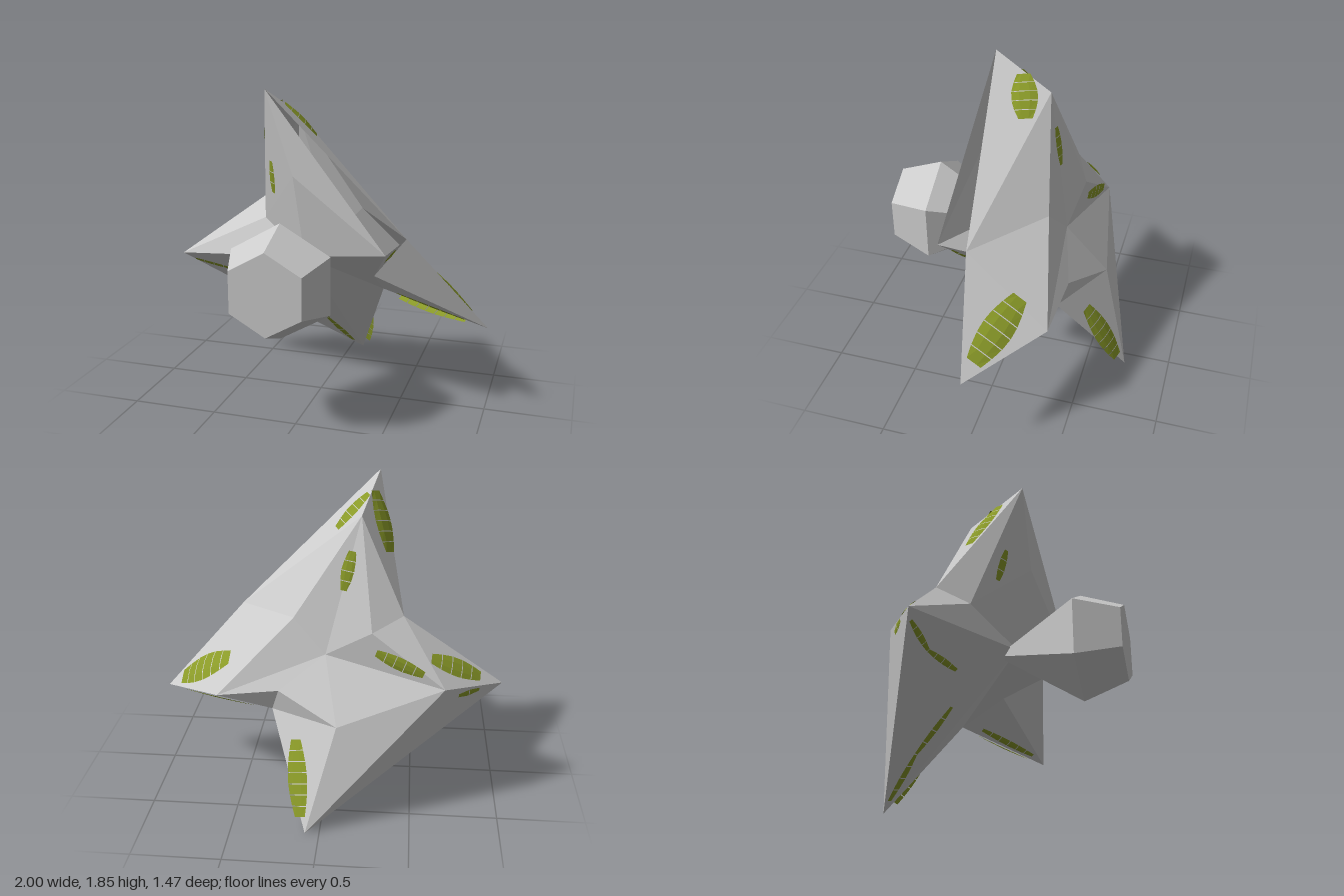
import * as THREE from 'three';

// Corners of the four-armed body: arm tips, their back corners and the valleys between
const P = {
  top: [-0.27, 1.845, 0.19], topBack: [-0.185, 1.67, -0.155],
  right: [1, 0.51, 0.01], rightBack: [0.62, 0.65, -0.365],
  low: [0.08, 0, -0.735], lowBack: [-0.08, 0.58, -0.555],
  left: [-1, 0.727, -0.213], leftBack: [-0.67, 0.78, -0.44],
  webEdge: [0.535, 1.03, 0.12], webSpur: [0.46, 0.98, 0.315], webBack: [0.185, 1.1, -0.25],
  notchRim: [-0.43, 1.145, -0.28], notchFront: [-0.38, 1.04, -0.09], notchBack: [-0.26, 1.07, -0.365],
  crook: [0.305, 0.567, -0.34], crookFront: [0.305, 0.73, -0.08], crookBack: [0.26, 0.71, -0.395],
  dip: [-0.107, 1.364, 0.2], hub: [-0.07, 0.87, 0.1], hubBack: [0, 0.91, -0.315],
};

const FACES = [
  // front, open along the top edge of the spur
  'top notchRim notchFront', 'notchRim left notchFront', 'top notchFront dip', 'notchFront hub dip',
  'notchFront left hub', 'left low hub', 'low crook hub', 'crook crookFront hub', 'crook right crookFront',
  'crookFront right webEdge', 'crookFront webEdge webSpur', 'crookFront webSpur hub',
  'hub webSpur dip', 'dip webSpur top',
  // rim
  'notchRim top topBack', 'notchRim topBack notchBack', 'left notchRim leftBack', 'notchRim notchBack leftBack',
  'low left leftBack', 'low leftBack lowBack', 'crook low lowBack', 'crook lowBack crookBack',
  'right crook rightBack', 'crook crookBack rightBack', 'webEdge right rightBack', 'webEdge rightBack webBack',
  'top webEdge topBack', 'webEdge webBack topBack',
];
// back: a fan round the middle
const RING = ['topBack', 'notchBack', 'leftBack', 'lowBack', 'crookBack', 'rightBack', 'webBack'];
RING.forEach((n, i) => FACES.push(`hubBack ${RING[(i + 1) % RING.length]} ${n}`));

const vec = (a) => new THREE.Vector3(...a);

function trianglesToGeometry(points) {
  const g = new THREE.BufferGeometry().setFromPoints(points);
  g.computeVertexNormals();
  return g;
}

// A row of slightly separated leaf strips, gently domed above a body face
function leafPatch(face, from, to, width, count, material) {
  const [a, b, c] = face.split(' ').map((n) => vec(P[n]));
  const plane = new THREE.Plane().setFromCoplanarPoints(a, b, c);
  const start = plane.projectPoint(vec(from), new THREE.Vector3());
  const end = plane.projectPoint(vec(to), new THREE.Vector3());
  const side = end.clone().sub(start).cross(plane.normal).normalize();
  const at = (t, s) => {
    const w = width * (0.5 + 0.5 * Math.sin(Math.PI * t));
    return start.clone().lerp(end, t)
      .addScaledVector(side, s * w)
      .addScaledVector(plane.normal, 0.006 + 0.2 * width * Math.sin(Math.PI * t) * (1 - s * s * 0.7));
  };
  const pts = [];
  for (let i = 0; i < count; i++) {
    const t0 = i / count, t1 = (i + 0.92) / count;
    const cols = [-1, -0.4, 0.4, 1];
    for (let k = 0; k < 3; k++) {
      const p = at(t0, cols[k]), q = at(t1, cols[k]), r = at(t1, cols[k + 1]), s = at(t0, cols[k + 1]);
      pts.push(p, s, r, p, r, q);
    }
  }
  const mesh = new THREE.Mesh(trianglesToGeometry(pts), material);
  mesh.name = 'leafPatch';
  return mesh;
}

export function createModel() {
  const group = new THREE.Group();
  const grey = new THREE.MeshStandardMaterial({ color: 0xcccccc, flatShading: true, side: THREE.DoubleSide });
  const green = new THREE.MeshStandardMaterial({ color: 0x8a9a28, side: THREE.DoubleSide });

  // faceted body with four arms
  const corners = FACES.flatMap((f) => f.split(' ').map((n) => vec(P[n])));
  const body = new THREE.Mesh(trianglesToGeometry(corners), grey);
  body.name = 'body';
  group.add(body);

  // six-sided knob on a tapering stem
  const profile = [[0, 0.03], [0.03, 0.03], [0.33, 0.485], [0.235, 0.735], [0, 0.735]];
  const knob = new THREE.Mesh(
    new THREE.LatheGeometry(profile.map((p) => new THREE.Vector2(...p)), 6), grey);
  knob.rotation.x = Math.PI / 2;
  knob.position.set(-0.085, 0.835, 0);
  knob.name = 'knob';
  group.add(knob);

  // leaf patches: face, from, to, half width, strips
  const patches = [
    // right arm
    ['webEdge right rightBack', [0.58, 0.82, -0.2], [0.92, 0.6, -0.04], 0.09, 6],
    ['right crook rightBack', [0.86, 0.53, -0.06], [0.42, 0.56, -0.27], 0.035, 7],
    ['crook right crookFront', [0.85, 0.52, -0.02], [0.4, 0.57, -0.24], 0.02, 6],
    ['crookFront webEdge webSpur', [0.48, 0.99, 0.22], [0.42, 0.9, 0.13], 0.035, 3],
    // top arm
    ['top webEdge topBack', [-0.2, 1.76, 0.01], [-0.03, 1.57, -0.05], 0.075, 5],
    ['notchRim top topBack', [-0.25, 1.76, 0.04], [-0.29, 1.42, -0.09], 0.07, 6],
    ['top notchFront dip', [-0.28, 1.42, 0.1], [-0.28, 1.22, 0.04], 0.025, 3],
    ['hubBack topBack webBack', [-0.14, 1.48, -0.19], [-0.1, 1.26, -0.23], 0.04, 4],
    // left arm
    ['left notchRim leftBack', [-0.87, 0.79, -0.27], [-0.58, 0.93, -0.36], 0.055, 5],
    ['hubBack leftBack notchBack', [-0.55, 0.86, -0.42], [-0.28, 0.96, -0.38], 0.04, 5],
    ['low left leftBack', [-0.86, 0.73, -0.3], [-0.74, 0.72, -0.38], 0.02, 2],
    ['left low hub', [-0.92, 0.7, -0.24], [-0.66, 0.635, -0.22], 0.018, 4],
    ['left low hub', [-0.66, 0.635, -0.22], [-0.36, 0.65, -0.17], 0.018, 4],
    // low arm
    ['left low hub', [-0.16, 0.52, -0.26], [-0.1, 0.27, -0.48], 0.025, 4],
    ['left low hub', [-0.1, 0.27, -0.48], [0.03, 0.06, -0.69], 0.025, 4],
    ['crook low lowBack', [0.16, 0.46, -0.5], [0.11, 0.07, -0.69], 0.065, 7],
  ];
  const leaves = new THREE.Group();
  leaves.name = 'leaves';
  for (const p of patches) leaves.add(leafPatch(...p, green));
  group.add(leaves);
  return group;
}
